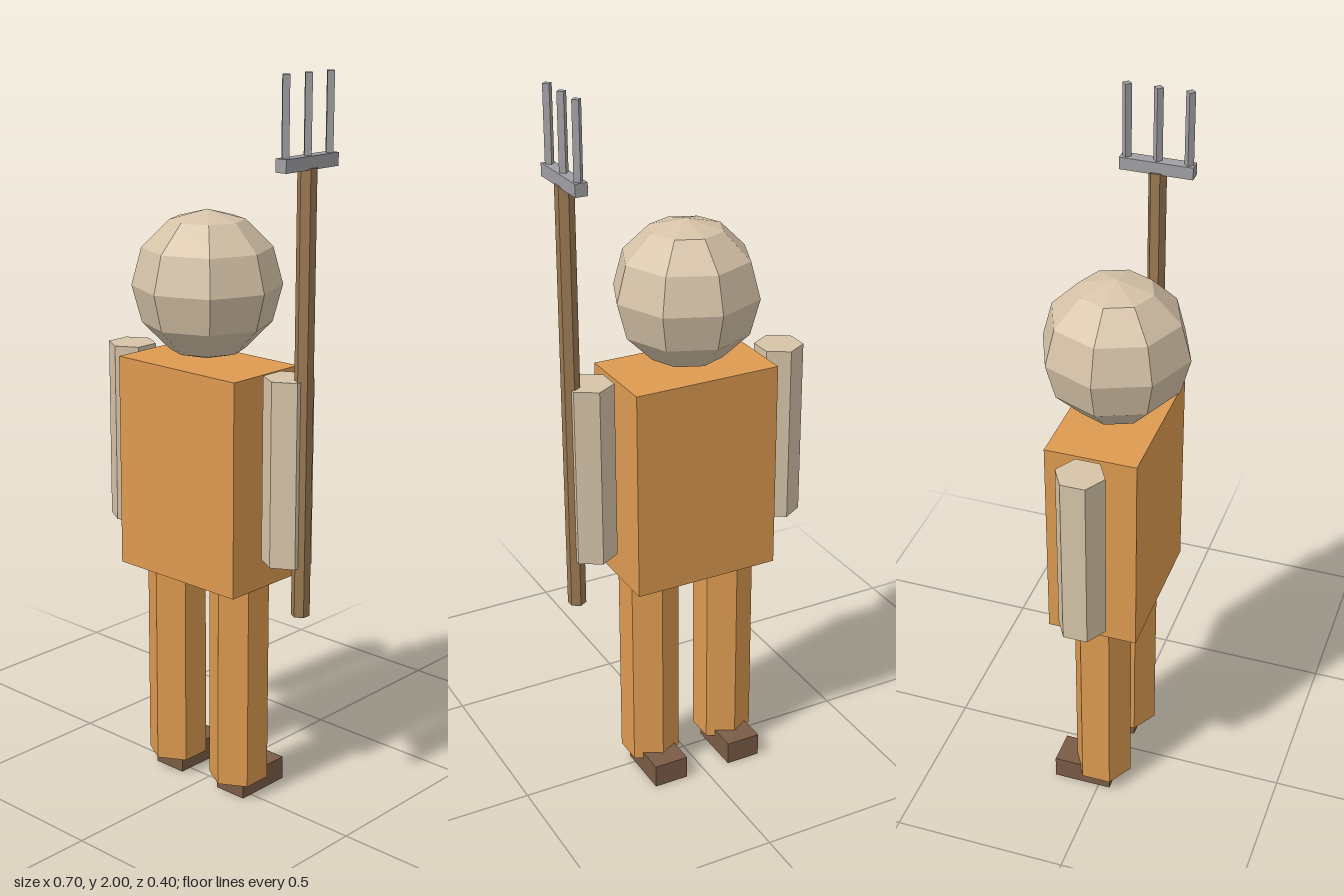
import * as THREE from 'three';

const material = (color) => new THREE.MeshStandardMaterial({ color, flatShading: true });

export function createModel() {
  const model = new THREE.Group();
  model.name = 'farmer';

  const clothes = material(0xdc9a50);
  const skin = material(0xd6c3a8);
  const leather = material(0x7a5c46);
  const wood = material(0x9a7a52);
  const metal = material(0xa0a0a4);

  const add = (parent, name, geometry, mat, x, y, z) => {
    const mesh = new THREE.Mesh(geometry, mat);
    mesh.name = name;
    mesh.position.set(x, y, z);
    parent.add(mesh);
    return mesh;
  };
  // Upright prism between two heights
  const prism = (parent, name, radius, sides, y0, y1, mat, x, z = 0) =>
    add(parent, name, new THREE.CylinderGeometry(radius, radius, y1 - y0, sides), mat, x, (y0 + y1) / 2, z);

  // Body, shifted slightly to balance the fork
  const body = new THREE.Group();
  body.name = 'body';
  body.position.x = -0.008;
  model.add(body);

  add(body, 'torso', new THREE.BoxGeometry(0.418, 0.59, 0.25), clothes, 0, 0.93, 0);
  add(body, 'head', new THREE.SphereGeometry(0.2, 8, 6), skin, 0, 1.432, 0);

  // Limbs, with the feet extending backwards
  for (const [side, s] of [['left', 1], ['right', -1]]) {
    prism(body, side + 'Arm', 0.067, 6, 0.727, 1.23, skin, s * 0.285);
    prism(body, side + 'Leg', 0.083, 6, 0.047, 0.637, clothes, s * 0.1175);
    add(body, side + 'Foot', new THREE.BoxGeometry(0.1, 0.067, 0.168), leather, s * 0.1175, 0.0335, -0.05);
  }

  // Pitchfork beside the left arm
  const fork = new THREE.Group();
  fork.name = 'pitchfork';
  fork.position.x = 0.328;
  model.add(fork);

  prism(fork, 'handle', 0.025, 6, 0.59, 1.77, wood, 0);
  add(fork, 'crossbar', new THREE.BoxGeometry(0.034, 0.034, 0.2), metal, 0, 1.783, 0);
  for (const z of [-0.084, 0, 0.084]) {
    prism(fork, 'tine', 0.0127, 4, 1.8, 2, metal, 0, z);
  }

  return model;
}
